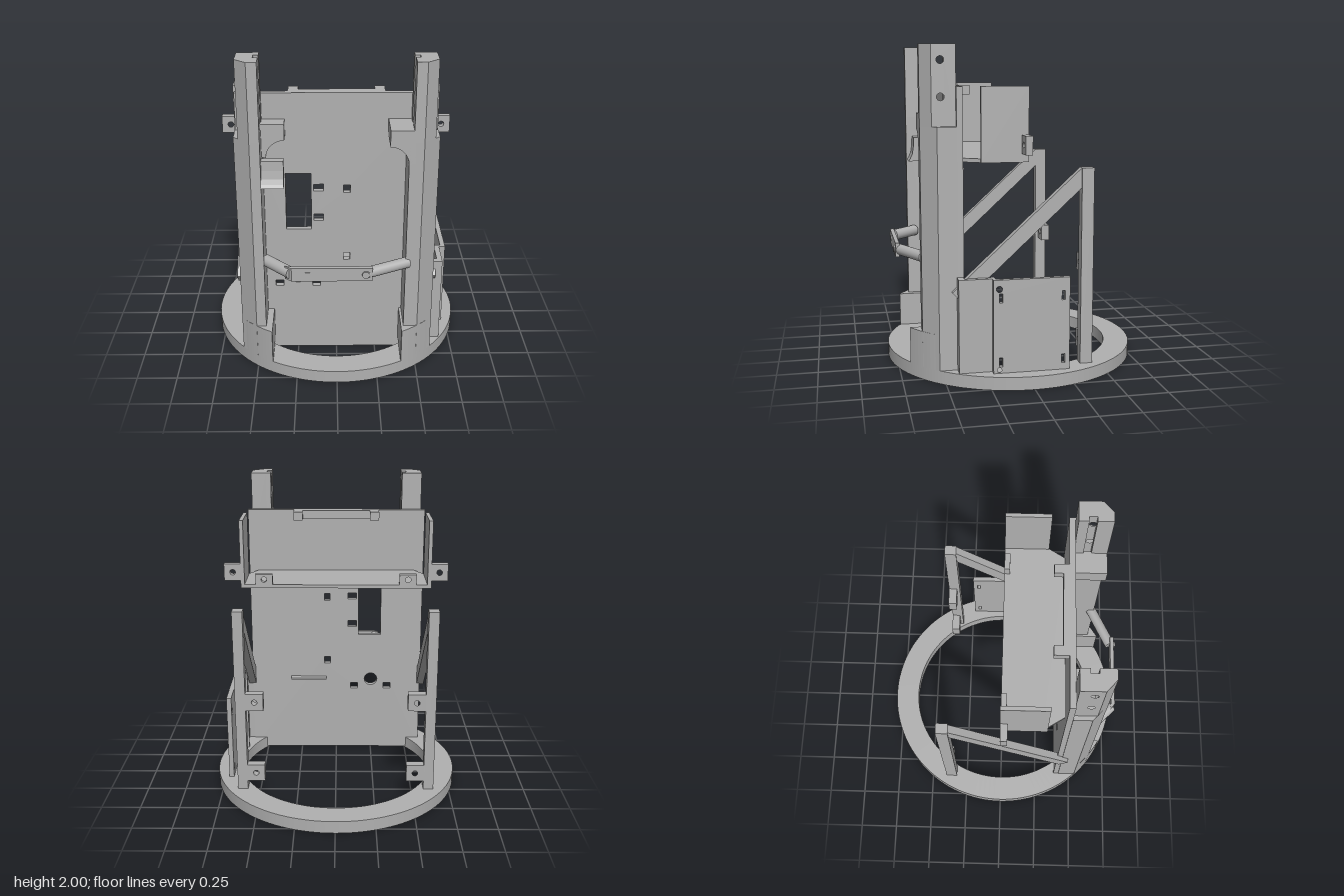
import * as THREE from 'three';

const grey = new THREE.MeshStandardMaterial({ color: 0xb0b0b0 });
grey.name = 'plain grey';

export function createModel() {
  const root = new THREE.Group();
  root.name = 'mountingFrame';

  const add = (name, geo) => {
    const m = new THREE.Mesh(geo, grey);
    m.name = name;
    root.add(m);
    return m;
  };
  // Box given by its limits on each axis
  const box = (name, x0, x1, y0, y1, z0, z1) => {
    const g = new THREE.BoxGeometry(Math.abs(x1 - x0), y1 - y0, z1 - z0);
    g.translate((x0 + x1) / 2, (y0 + y1) / 2, (z0 + z1) / 2);
    return add(name, g);
  };
  const poly = (pts) => new THREE.Shape(pts.map(([a, b]) => new THREE.Vector2(a, b)));
  const rect = (x, y, w, h) => new THREE.Path([[-1, -1], [1, -1], [1, 1], [-1, 1]].map(
    ([a, b]) => new THREE.Vector2(x + a * w / 2, y + b * h / 2)));
  const circle = (x, y, r) => new THREE.Path().absarc(x, y, r, 0, Math.PI * 2, true);
  const extrude = (shape, depth, seg = 20) =>
    new THREE.ExtrudeGeometry(shape, { depth, bevelEnabled: false, curveSegments: seg });

  // Outline in x,z pulled up along y
  const plan = (name, pts, y0, y1) => add(name,
    extrude(poly(pts.map(([x, z]) => [x, -z])), y1 - y0).rotateX(-Math.PI / 2).translate(0, y0, 0));
  // Outline in x,y pulled along z
  const front = (name, shape, z0, z1) => add(name, extrude(shape, z1 - z0).translate(0, 0, z0));
  // Outline in z,y pulled along x, with optional holes
  const side = (name, pts, xa, xb, holes = []) => {
    const shape = poly(pts.map(([z, y]) => [-z, y]));
    shape.holes.push(...holes);
    return add(name, extrude(shape, Math.abs(xb - xa)).rotateY(Math.PI / 2).translate(Math.min(xa, xb), 0, 0));
  };
  const sideRect = (z0, z1, y0, y1) => [[z0, y0], [z1, y0], [z1, y1], [z0, y1]];
  // Square lug with a bolt hole facing z
  const lug = (name, x0, x1, y0, y1, z0, z1) => {
    const s = poly([[x0, y0], [x1, y0], [x1, y1], [x0, y1]]);
    s.holes.push(circle((x0 + x1) / 2, (y0 + y1) / 2, 0.018));
    front(name, s, z0, z1);
  };
  const rod = (name, a, b, r) => {
    const p = new THREE.Vector3(...a), q = new THREE.Vector3(...b);
    const m = add(name, new THREE.CylinderGeometry(r, r, p.distanceTo(q), 32));
    m.position.copy(p).add(q).multiplyScalar(0.5);
    m.quaternion.setFromUnitVectors(new THREE.Vector3(0, 1, 0), q.sub(p).normalize());
  };

  // Base ring
  const ring = [[0.637, 0], [0.8, 0], [0.8, 0], [0.8, 0.08], [0.8, 0.08], [0.637, 0.08], [0.637, 0.08], [0.637, 0]];
  for (let i = 0; i < 8; i += 2) {
    add('baseRing', new THREE.LatheGeometry([ring[i], ring[i + 1]].map(([a, b]) => new THREE.Vector2(a, b)), 128));
  }

  // Main panel with its window and fixing holes
  const panel = poly([[-0.595, 0.01], [0.595, 0.01], [0.595, 1.76], [-0.595, 1.76]]);
  panel.holes.push(rect(-0.232, 1.063, 0.155, 0.375), circle(-0.245, 0.54, 0.045));
  [[-0.11, 1.157, 0.06, 0.045], [0.063, 1.15, 0.04, 0.05], [-0.11, 0.955, 0.06, 0.045],
    [0.063, 0.685, 0.04, 0.05], [-0.36, 0.49, 0.05, 0.04], [-0.127, 0.49, 0.05, 0.04],
  ].forEach((h) => panel.holes.push(rect(...h)));
  front('mainPanel', panel, 0.385, 0.422);

  // Small ledges and top rail behind the panel
  box('upperLedge', 0.07, 0.32, 1.25, 1.262, 0.34, 0.385);
  box('lowerLedge', 0.07, 0.32, 0.55, 0.562, 0.34, 0.385);
  box('topRail', -0.285, 0.285, 1.705, 1.76, 0.35, 0.385);

  // Shelf with chamfered front corners
  plan('shelf', [[-0.615, 0], [0.615, 0], [0.615, 0.25], [0.53, 0.386], [-0.53, 0.386], [-0.615, 0.25]], 1.32, 1.343);

  for (const s of [1, -1]) {
    const inner = s > 0 ? 0.415 : 0.44;
    const P = (pts) => pts.map(([x, z]) => [s * x, z]);

    box('railEnd', s * 0.225, s * 0.285, 1.705, 1.76, 0.295, 0.35);

    // Shelf wings and lugs
    side('shelfWing', sideRect(0, 0.283, 1.32, 1.76), s * 0.59, s * 0.615);
    lug('wingLug', s * 0.61, s * 0.72, 1.37, 1.48, 0, 0.043);
    lug('shelfLug', s * 0.41, s * 0.52, 1.343, 1.41, 0, 0.035);

    // Main column and the foot that follows the ring
    plan('column', P([[inner, 0.42], [0.598, 0.42], [0.598, 0.535], [0.5, 0.625], [inner, 0.625]]), 0.08, 1.53);
    const foot = [[0.598, 0.42]];
    for (let i = 0; i <= 10; i++) {
      const a = 0.727 + i * 0.0317;
      foot.push([0.8 * Math.cos(a), 0.8 * Math.sin(a)]);
    }
    foot.push([0.4, 0.69], [0.4, 0.42]);
    plan('columnFoot', P(foot), 0.08, 0.3);

    // Upper post: drilled web, faceted nose and two lips forming a groove
    side('postWeb', sideRect(0.42, 0.563, 1.53, 2), s * 0.47, s * 0.57,
      [circle(-0.51, 1.91, 0.022), circle(-0.51, 1.7, 0.022)]);
    plan('postNose', P([[0.44, 0.563], [0.57, 0.563], [0.5, 0.625], [0.44, 0.625]]), 1.53, 2);
    box('postLip', s * 0.44, s * 0.47, 1.53, 2, 0.42, 0.48);
    box('postLip', s * 0.44, s * 0.47, 1.53, 2, 0.528, 0.563);

    // Arched bracket on the inner side of the column
    const arch = [[0.45, 1.4], [0.45, 1.6], [0.305, 1.6], [0.305, 1.5]];
    for (let i = 1; i <= 12; i++) {
      const a = Math.PI / 2 * (1 - i / 12);
      arch.push([0.305 + 0.11 * Math.cos(a), 1.39 + 0.11 * Math.sin(a)]);
    }
    front('archBracket', poly(P(arch)), 0.42, s > 0 ? 0.625 : 0.515);

    // Rear leg, its lugs and the diagonal brace
    box('rearLeg', s * 0.567, s * 0.632, 0.08, 1.28, -0.395, -0.32);
    for (const y of [0.14, 0.63]) lug('legLug', s * 0.455, s * 0.567, y, y + 0.11, -0.395, -0.34);
    side('diagonalBrace', [[-0.33, 1.28], [-0.32, 1.28], [0.46, 0.56], [0.4, 0.495], [-0.33, 1.17]],
      s * 0.575, s * 0.625);
  }

  // Curved lip on the right column
  side('columnLip', [[0.54, 1.4], [0.585, 1.4], [0.587, 1.34], [0.595, 1.29], [0.608, 1.26], [0.62, 1.24], [0.54, 1.24]],
    -0.45, -0.31);

  // Slotted side panel with its stepped return
  const slots = [circle(-0.195, 0.59, 0.018), circle(-0.195, 0.1, 0.014)];
  for (const z of [0.185, -0.193]) for (const y of [0.535, 0.147]) slots.push(rect(-z, y, 0.02, 0.055));
  side('sidePanel', sideRect(-0.232, 0.23, 0.08, 0.645), 0.677, 0.708, slots);
  box('sidePanelStep', 0.62, 0.677, 0.08, 0.645, 0.212, 0.23);
  box('sidePanelInner', 0.635, 0.668, 0.08, 0.645, 0.23, 0.41);
  box('sidePanelFlange', 0.59, 0.668, 0.08, 0.645, 0.39, 0.428);

  // Front handle: flat bar carried on two slanted rods
  plan('handleBar', [[-0.31, 0.725], [-0.27, 0.757], [0.21, 0.757], [0.21, 0.732], [-0.28, 0.732]], 0.7, 0.787);
  rod('handleRod', [-0.43, 0.745, 0.58], [-0.275, 0.745, 0.735], 0.036);
  rod('handleRod', [0.43, 0.742, 0.605], [0.17, 0.742, 0.735], 0.034);
  box('handleStud', -0.19, -0.16, 0.73, 0.76, 0.755, 0.763);
  rod('handleScrew', [0.17, 0.745, 0.75], [0.17, 0.745, 0.768], 0.022);

  return root;
}
